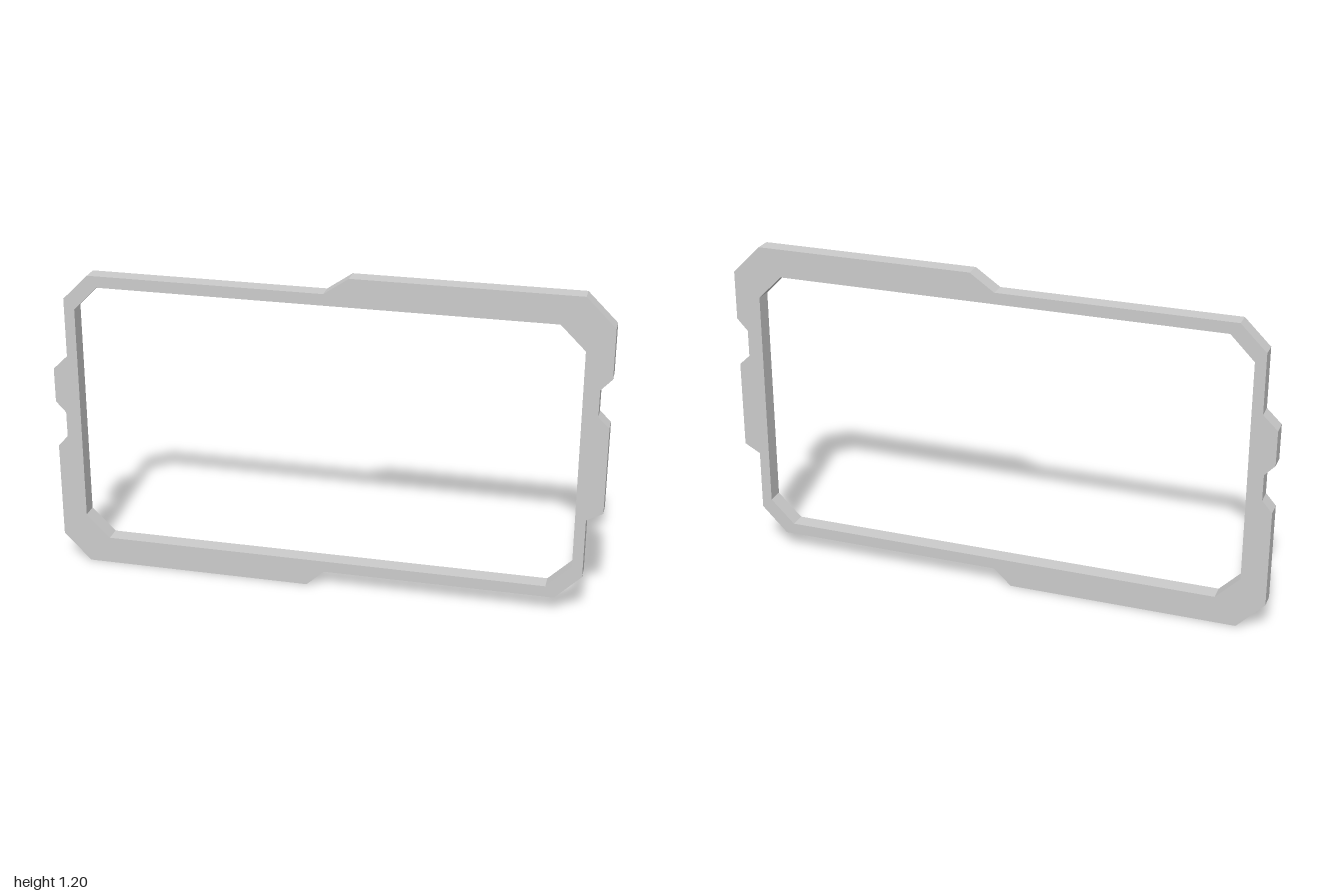
import * as THREE from 'three';

const DEPTH = 0.062;

export function createModel() {
  const group = new THREE.Group();
  group.name = 'panelFrame';
  const points = (list) => list.map(([x, y]) => new THREE.Vector2(x, y));

  // Outer outline, anticlockwise from the bottom left corner
  const outline = new THREE.Shape(points([
    [-0.9, 0], [-0.06, 0], [0.005, 0.06], [0.847, 0.06],
    // right edge with step and notch
    [0.942, 0.155], [0.942, 0.378], [1, 0.41], [1, 0.732],
    [0.96, 0.77], [0.96, 0.868], [1, 0.911], [1, 1.091],
    // top edge with raised half
    [0.895, 1.195], [0.093, 1.195], [0.003, 1.133], [-0.852, 1.133],
    // left edge with step and notch
    [-0.946, 1.04], [-0.946, 0.82], [-1, 0.768], [-1, 0.64],
    [-0.963, 0.6], [-0.963, 0.505], [-1, 0.463], [-1, 0.103],
  ]));

  // Opening with chamfered corners
  outline.holes.push(new THREE.Path(points([
    [-0.82, 0.102], [-0.907, 0.19], [-0.907, 1.003], [-0.82, 1.091],
    [0.815, 1.091], [0.904, 1.003], [0.904, 0.19], [0.815, 0.102],
  ])));

  const geometry = new THREE.ExtrudeGeometry(outline, { depth: DEPTH, bevelEnabled: false });
  geometry.translate(0, 0, -DEPTH / 2);
  const frame = new THREE.Mesh(
    geometry,
    new THREE.MeshStandardMaterial({ color: 0xcccccc, flatShading: true }),
  );
  frame.name = 'frame';
  group.add(frame);
  return group;
}
